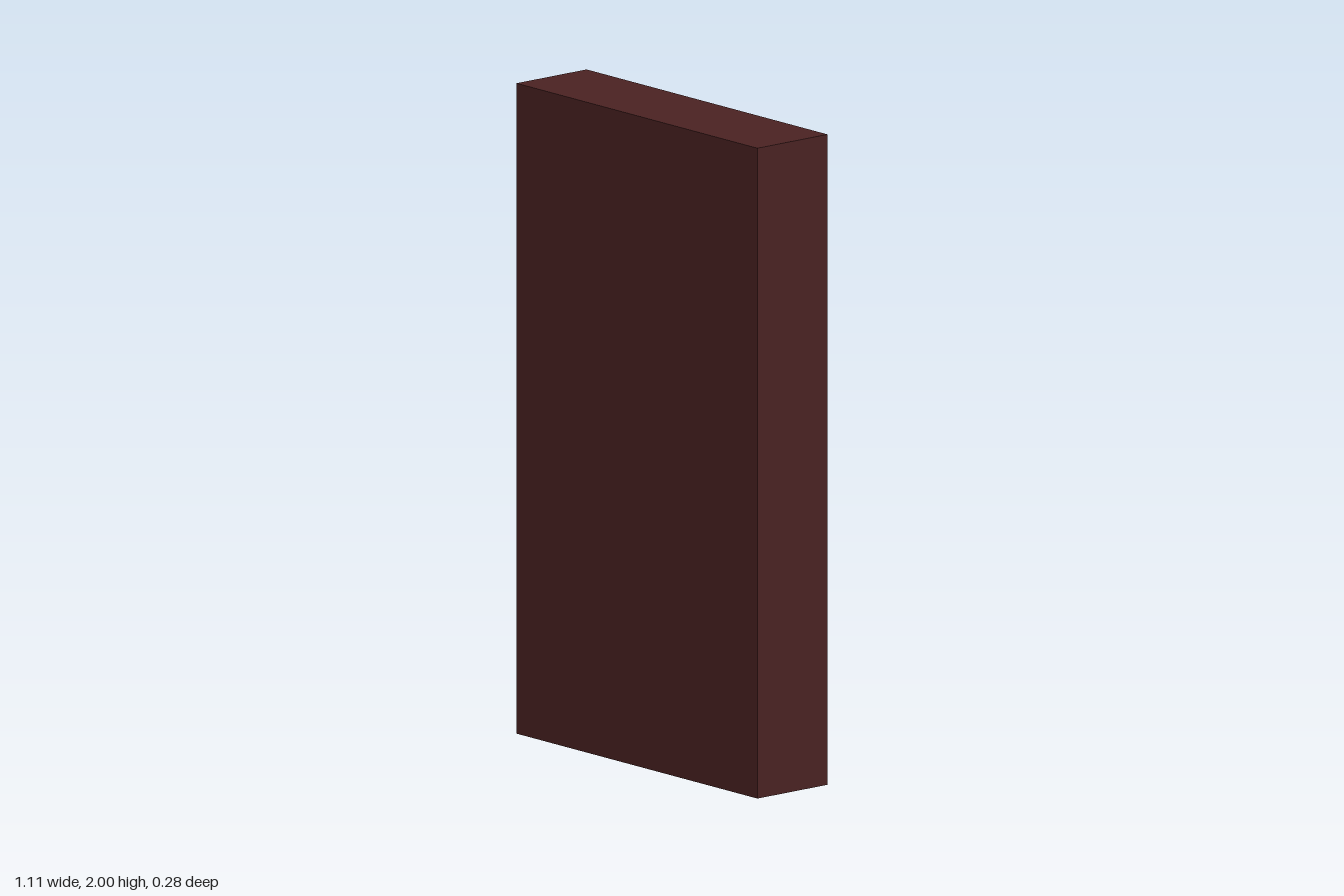
import * as THREE from 'three';

const WIDTH = 1.11, HEIGHT = 2, DEPTH = 0.276;
const BOARD = 0.05;   // thickness of sides and shelves
const PANEL = 0.046;  // thickness of the closed panel
const BAYS = 5;

function rectangle(target, x0, y0, x1, y1) {
  target.moveTo(x0, y0);
  target.lineTo(x1, y0);
  target.lineTo(x1, y1);
  target.lineTo(x0, y1);
  target.closePath();
  return target;
}

export function createModel() {
  const model = new THREE.Group();
  model.name = 'bookcase';

  const wood = new THREE.MeshStandardMaterial({ color: 0x4a2222 });
  wood.name = 'dark red wood';

  // Sides, top, bottom and shelves: one outline pierced by equal bays
  const half = WIDTH / 2;
  const outline = rectangle(new THREE.Shape(), -half, 0, half, HEIGHT);
  const bayHeight = (HEIGHT - BOARD * (BAYS + 1)) / BAYS;
  for (let i = 0; i < BAYS; i++) {
    const y = BOARD + i * (bayHeight + BOARD);
    outline.holes.push(rectangle(new THREE.Path(), -half + BOARD, y, half - BOARD, y + bayHeight));
  }
  const frameDepth = DEPTH - PANEL;
  const frame = new THREE.Mesh(
    new THREE.ExtrudeGeometry(outline, { depth: frameDepth, bevelEnabled: false }), wood);
  frame.name = 'frameAndShelves';
  frame.position.z = -DEPTH / 2;
  model.add(frame);

  // Plain panel closing the +z side; the shelves open toward -z
  const panel = new THREE.Mesh(new THREE.BoxGeometry(WIDTH, HEIGHT, PANEL), wood);
  panel.name = 'closedPanel';
  panel.position.set(0, HEIGHT / 2, DEPTH / 2 - PANEL / 2);
  model.add(panel);

  return model;
}
